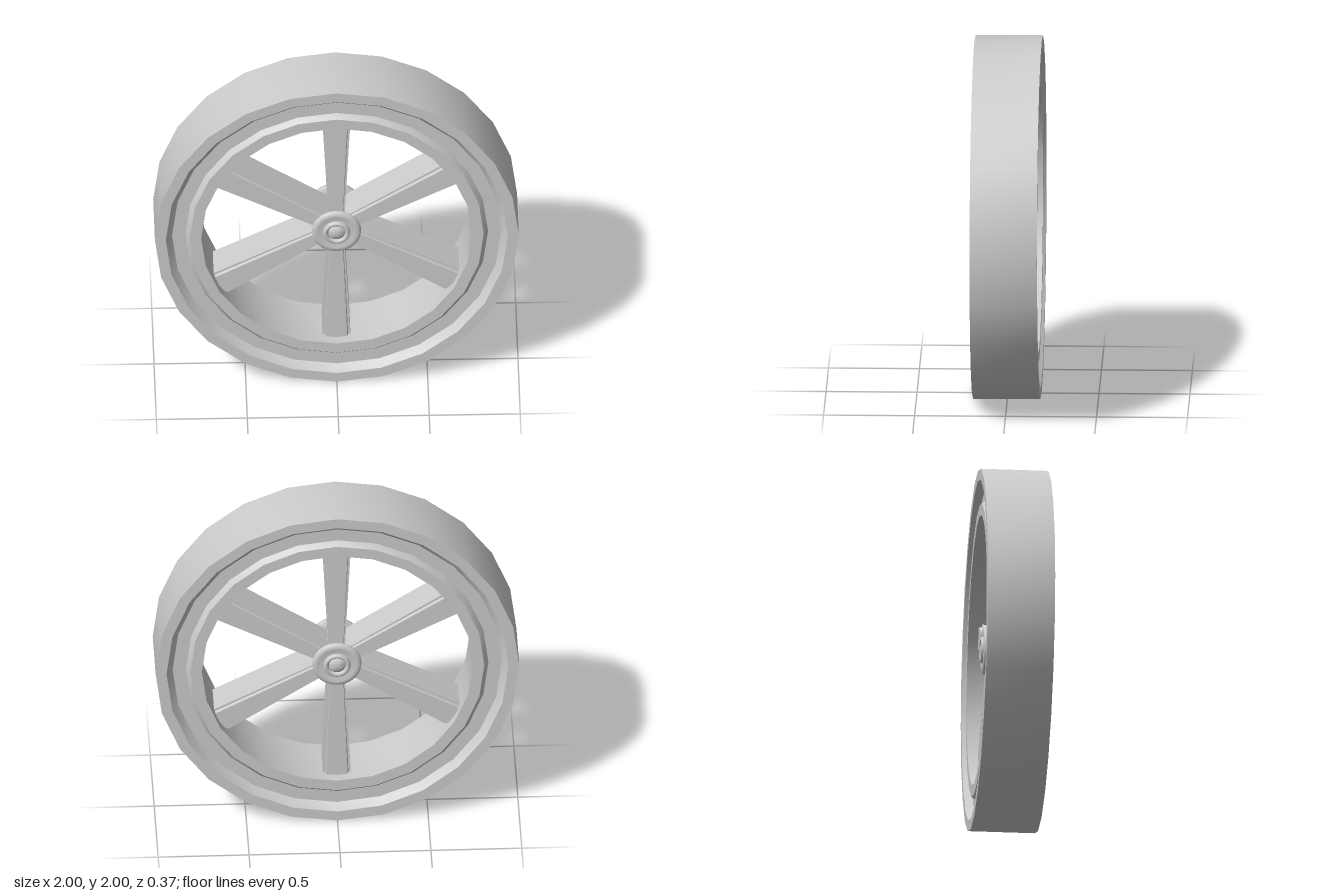
import * as THREE from 'three';
import { toCreasedNormals } from 'three/addons/utils/BufferGeometryUtils.js';

const material = new THREE.MeshStandardMaterial({ color: 0xcccccc });

// Revolve a half profile of [radius, z] points, mirrored front to back, about the axle.
function turned(name, half, sides, closed, crease) {
  const back = half.map(([r, z]) => [r, -z]).reverse();
  const points = [...back, ...half].map(([r, z]) => new THREE.Vector2(r, z));
  if (closed) points.push(points[0].clone());
  const geometry = new THREE.LatheGeometry(points, sides);
  geometry.rotateX(Math.PI / 2);
  const mesh = new THREE.Mesh(toCreasedNormals(geometry, crease), material);
  mesh.name = name;
  return mesh;
}

// Tapered spoke with a raised panel on its front and back.
function spokeGeometry() {
  const inner = 0.07, outer = 0.755;
  const quarter = [[0.078, 0.098], [0.065, 0.098], [0.06, 0.115]];
  const outline = [
    ...quarter,
    ...quarter.map(([x, z]) => [-x, z]).reverse(),
    ...quarter.map(([x, z]) => [-x, -z]),
    ...quarter.map(([x, z]) => [x, -z]).reverse(),
  ];
  const shape = new THREE.Shape(outline.map(([x, z]) => new THREE.Vector2(x, z)));
  const geometry = new THREE.ExtrudeGeometry(shape, { depth: outer - inner, bevelEnabled: false });
  const p = geometry.attributes.position;
  for (let i = 0; i < p.count; i++) {
    const t = p.getZ(i) / (outer - inner);
    p.setX(i, p.getX(i) * THREE.MathUtils.lerp(0.56, 1, t));
  }
  geometry.rotateX(-Math.PI / 2).translate(0, inner, 0);
  geometry.computeVertexNormals();
  return geometry;
}

export function createModel() {
  const wheel = new THREE.Group();
  wheel.name = 'wheel';

  // Rim: broad tread, with a groove sunk between two lips on each face
  wheel.add(turned('rim', [
    [1, 0.185], [0.94, 0.185], [0.905, 0.143], [0.832, 0.143], [0.808, 0.172], [0.745, 0.172],
  ], 24, true, 0.5));

  // Six spokes
  const spokes = new THREE.Group();
  spokes.name = 'spokes';
  const geometry = spokeGeometry();
  for (let i = 0; i < 6; i++) {
    const spoke = new THREE.Mesh(geometry, material);
    spoke.name = 'spoke';
    spoke.rotation.z = i * Math.PI / 3;
    spokes.add(spoke);
  }
  wheel.add(spokes);

  // Hub: barrel with a rounded flange and a ringed boss at each end
  wheel.add(turned('hub', [
    [0.09, 0.105], [0.125, 0.11], [0.135, 0.12], [0.133, 0.134], [0.122, 0.142], [0.105, 0.143],
    [0.085, 0.136], [0.074, 0.137], [0.071, 0.148], [0.063, 0.154], [0.053, 0.152],
    [0.046, 0.14], [0.04, 0.145], [0.022, 0.153], [0, 0.155],
  ], 32, false, 0.9));

  wheel.position.y = 1;
  const model = new THREE.Group();
  model.name = 'spokedWheel';
  model.add(wheel);
  return model;
}
